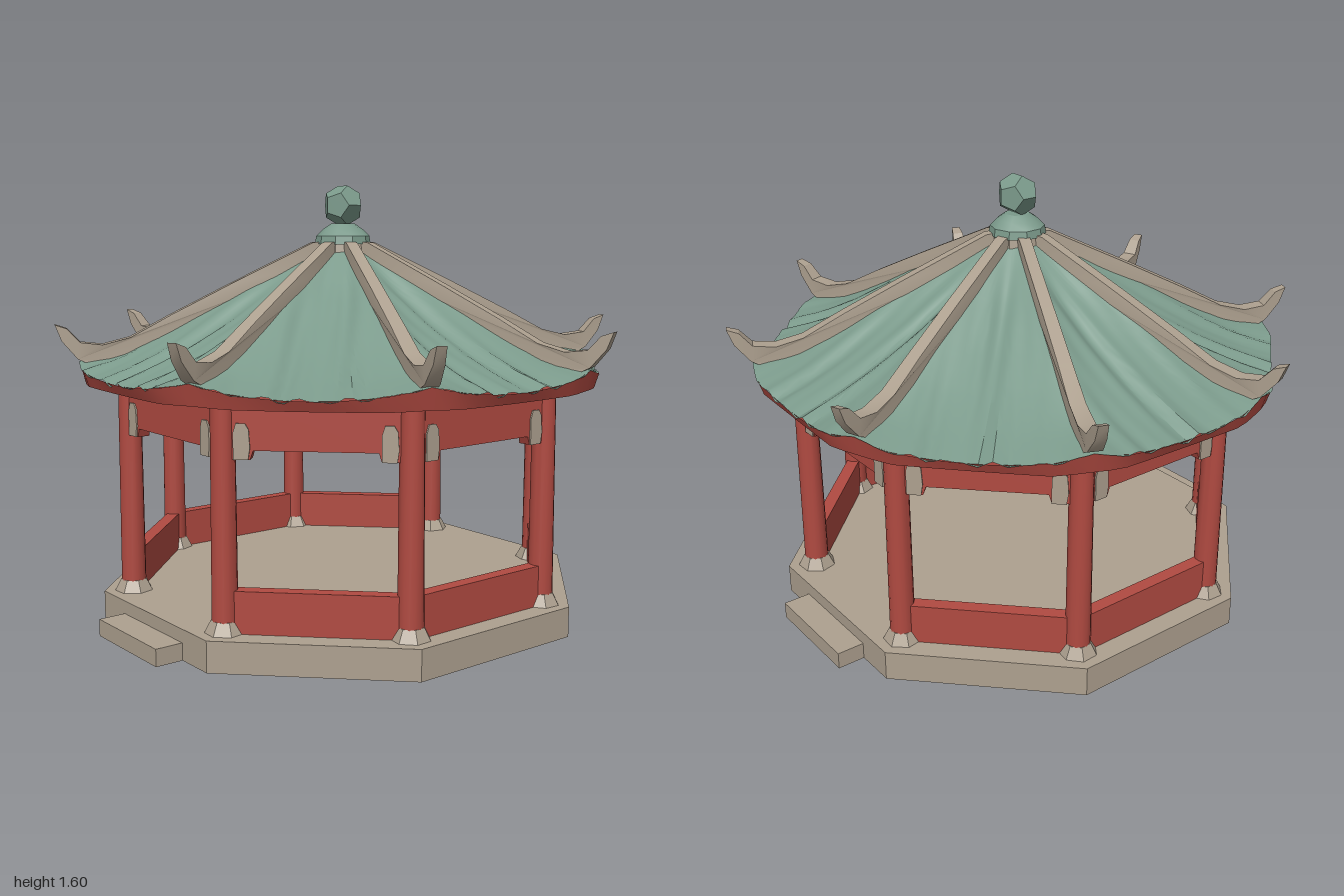
import * as THREE from 'three';
import { toCreasedNormals } from 'three/addons/utils/BufferGeometryUtils.js';
import { ParametricGeometry } from 'three/addons/geometries/ParametricGeometry.js';

const STEP = Math.PI / 4;
// Slightly uneven directions of the eight roof ridges, in degrees from +x towards +z
const RIDGES = [-20.8, 22.4, 67.8, 115.3, 160.2, 203.6, 249.2, 294.7].map(THREE.MathUtils.degToRad);

const material = (name, color) => {
  const m = new THREE.MeshStandardMaterial({ color });
  m.name = name;
  return m;
};

// Piecewise linear lookup in a list of [position, value]
function lookup(table, p) {
  for (let i = 1; i < table.length; i++) {
    const [p0, v0] = table[i - 1], [p1, v1] = table[i];
    if (p <= p1) return THREE.MathUtils.lerp(v0, v1, Math.max(0, (p - p0) / (p1 - p0)));
  }
  return table[table.length - 1][1];
}

// Roof heights along the middle of a face and along a corner
const MID = [[0.08, 1.37], [0.3, 1.22], [0.5, 1.11], [0.7, 1.02], [0.85, 0.965], [1, 0.92]];
const CORNER = [[0.08, 1.37], [0.3, 1.265], [0.5, 1.165], [0.7, 1.055], [0.85, 0.985], [1, 0.965]];

// Direction, cornerness and eave radius at a position u (0..1) around the roof
function around(u) {
  const k = Math.min(7, Math.floor(u * 8 + 1e-9));
  const t = u * 8 - k;
  const start = RIDGES[k], end = k < 7 ? RIDGES[k + 1] : RIDGES[0] + Math.PI * 2;
  const off = (t - 0.5) * (end - start);
  const corner = (2 * t - 1) ** 2;
  return { k, off, corner, angle: start + t * (end - start), edge: Math.min(0.95 / Math.cos(off), 0.985) };
}

const roofHeight = (f, corner) => THREE.MathUtils.lerp(lookup(MID, f), lookup(CORNER, f), corner);

// Tiled roof with irregular flutes running down each face
function roofPoint(u, v, target) {
  const { k, off, corner, angle, edge } = around(u);
  const f = 0.08 + 0.92 * v, r = f * edge;
  const side = r * Math.sin(off);
  const wave = Math.sin(side * 46 + k) + 0.7 * Math.sin(side * 74 + k * 2 + v * 3);
  const y = roofHeight(f, corner) + 0.007 * wave * (1 - corner) * Math.min(1, v * 3);
  target.set(r * Math.cos(angle), y, r * Math.sin(angle));
}

// Eave edge that drops below the tiles and returns inward to the beams
function eavePoint(u, v, target) {
  const { corner, angle, edge } = around(u);
  const top = roofHeight(1, corner), low = top - 0.035 - 0.04 * corner;
  const row = Math.round(v * 2);
  const r = [edge - 0.003, edge - 0.02, 0.73][row];
  const y = [top, low, 0.905][row];
  target.set(r * Math.cos(angle), y, r * Math.sin(angle));
}

// Flat outline given as points, extruded evenly about z = 0
function slab(points, depth) {
  const shape = new THREE.Shape(points.map(([x, y]) => new THREE.Vector2(x, y)));
  return new THREE.ExtrudeGeometry(shape, { depth, bevelEnabled: false }).translate(0, 0, -depth / 2);
}

export function createModel() {
  const model = new THREE.Group();
  model.name = 'pavilion';
  const stone = material('stone', 0xada08f);
  const red = material('red wood', 0xb04a41);
  const green = material('green tile', 0x7b9a8b);

  const add = (parent, name, geometry, mat, x = 0, y = 0, z = 0) => {
    const mesh = new THREE.Mesh(toCreasedNormals(geometry, 0.5), mat);
    mesh.name = name;
    mesh.position.set(x, y, z);
    parent.add(mesh);
    return mesh;
  };

  // Octagonal platform with a step at the front and the back
  add(model, 'platform', new THREE.CylinderGeometry(0.92, 0.92, 0.11, 8).rotateY(STEP / 2), stone, 0, 0.055);
  for (const s of [1, -1]) {
    add(model, s > 0 ? 'frontStep' : 'backStep', new THREE.BoxGeometry(0.4, 0.062, 0.13), stone, 0, 0.031, s * 0.887);
  }

  // Beam outline with deeper ends, and the pale plates fixed to it
  const beamOutline = [
    [-0.3, 0.92], [-0.3, 0.7], [-0.215, 0.7], [-0.205, 0.73],
    [0.205, 0.73], [0.215, 0.7], [0.3, 0.7], [0.3, 0.92],
  ];
  const plateOutline = [
    [-0.028, 0.7], [0.022, 0.7], [0.028, 0.74], [0.024, 0.8], [0.012, 0.82], [-0.018, 0.82], [-0.028, 0.79],
  ];

  for (let i = 0; i < 8; i++) {
    // Column on its foot stone
    const corner = new THREE.Group();
    corner.name = 'column' + (i + 1);
    corner.rotation.y = (i + 0.5) * STEP;
    model.add(corner);
    add(corner, 'post', new THREE.CylinderGeometry(0.041, 0.045, 0.81, 14), red, 0, 0.515, 0.81);
    add(corner, 'footStone', new THREE.CylinderGeometry(0.048, 0.072, 0.045, 7), stone, 0, 0.13, 0.81);

    // Bay between two columns: beam, plates and, except at the entrances, a low wall
    const bay = new THREE.Group();
    bay.name = 'bay' + (i + 1);
    bay.rotation.y = i * STEP;
    model.add(bay);
    add(bay, 'beam', slab(beamOutline, 0.045), red, 0, 0, 0.748);
    for (const s of [1, -1]) {
      for (const face of [1, -1]) {
        add(bay, 'bracketPlate', slab(plateOutline, 0.008), stone, s * 0.243, 0, 0.748 + face * 0.024);
      }
    }
    if (i % 4) add(bay, 'lowWall', new THREE.BoxGeometry(0.6, 0.15, 0.05), red, 0, 0.182, 0.748);
  }

  // Ceiling, eave and tiled roof
  add(model, 'ceiling', new THREE.CylinderGeometry(0.8, 0.8, 0.015, 8).rotateY(STEP / 2), stone, 0, 0.895);
  add(model, 'eave', new ParametricGeometry(eavePoint, 96, 2), red);
  add(model, 'roof', new ParametricGeometry(roofPoint, 256, 16), green);

  // Ridges with upturned tips
  const ridgeOutline = [
    [0.05, 1.4], [0.12, 1.39], [0.43, 1.24], [0.65, 1.13], [0.8, 1.05], [0.9, 1.025], [0.98, 1.035], [1.025, 1.085],
    [1.068, 1.1], [1.045, 1.04], [0.99, 0.975], [0.95, 0.955], [0.85, 0.965], [0.65, 1.05], [0.4, 1.18], [0.05, 1.32],
  ];
  RIDGES.forEach((angle, i) => {
    const geometry = slab(ridgeOutline, 0.056);
    const p = geometry.attributes.position;
    for (let j = 0; j < p.count; j++) {
      p.setZ(j, p.getZ(j) * lookup([[0.05, 0.75], [0.6, 0.85], [0.95, 1.1], [1.07, 0.6]], p.getX(j)));
    }
    add(model, 'ridge' + (i + 1), geometry, stone).rotation.y = -angle;
  });

  // Crown: stone collar, tiled neck and faceted ball
  add(model, 'collar', new THREE.CylinderGeometry(0.095, 0.105, 0.08, 10), stone, 0, 1.365);
  const neck = [[0.105, 1.385], [0.1, 1.415], [0.075, 1.44], [0.045, 1.46], [0, 1.46]];
  add(model, 'neck', new THREE.LatheGeometry(neck.map(([x, y]) => new THREE.Vector2(x, y)), 10), green);
  add(model, 'finialBall', new THREE.DodecahedronGeometry(0.078), green, 0, 1.528);

  return model;
}
